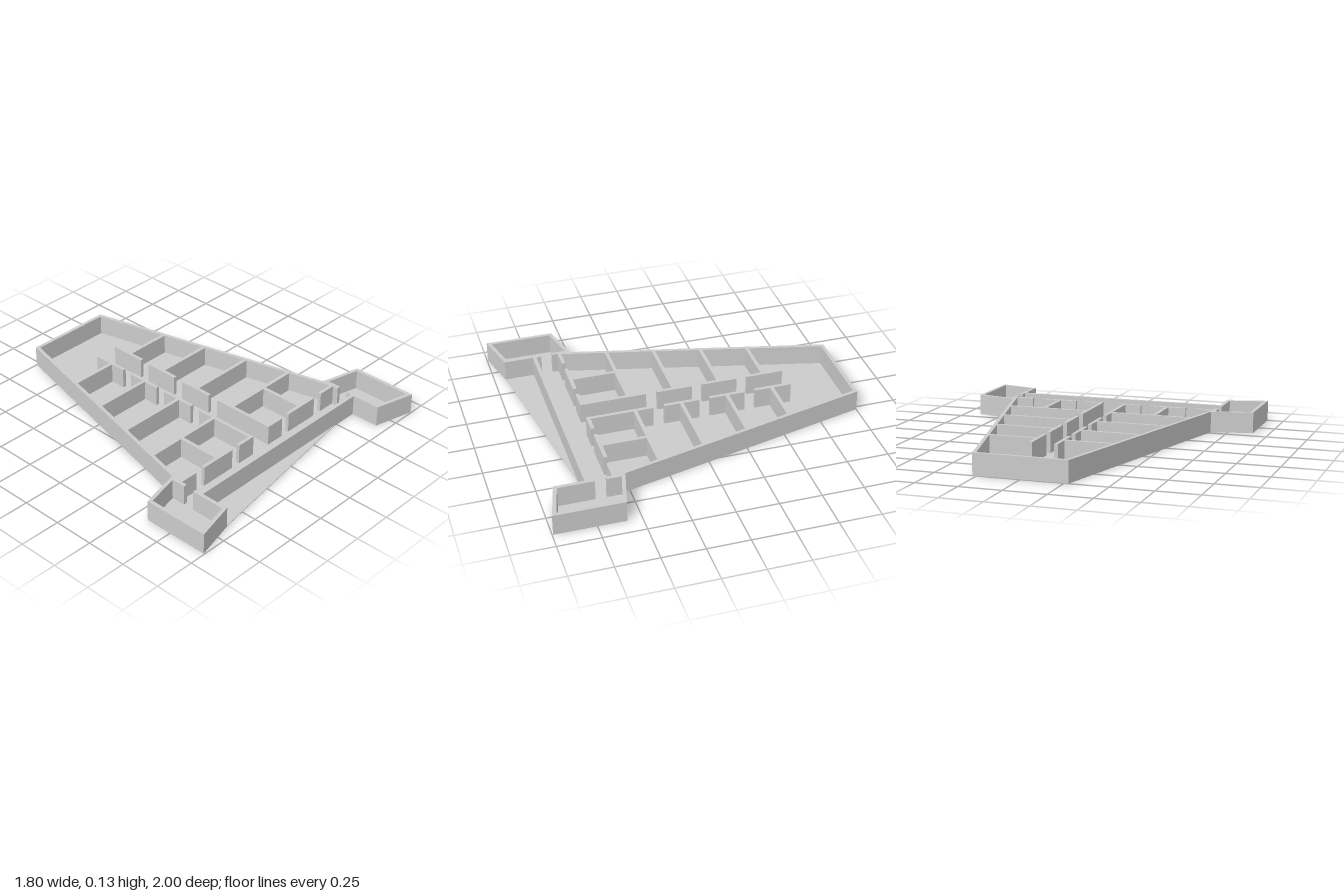
import * as THREE from 'three';

const H = 0.127;   // wall height
const T = 0.022;   // wall thickness
const FLOOR = 0.004;

const material = new THREE.MeshStandardMaterial({ color: 0xcccccc, flatShading: true });

// Outer face of the slanted hull side (x as a function of z)
const hullX = (z) => 0.275 + (z + 1) * 0.246;
const hullInnerX = (z) => hullX(z) - T;

// Extrudes a plan outline of [x, z] points upward from y = 0
function slab(name, points, height = H) {
  const shape = new THREE.Shape(points.map(([x, z]) => new THREE.Vector2(x, z)));
  const geometry = new THREE.ExtrudeGeometry(shape, { depth: height, bevelEnabled: false });
  geometry.rotateX(Math.PI / 2).translate(0, height, 0);
  const mesh = new THREE.Mesh(geometry, material);
  mesh.name = name;
  return mesh;
}

const flip = (points) => points.map(([x, z]) => [-x, z]).reverse();
const rect = (x0, x1, z0, z1) => [[x0, z0], [x1, z0], [x1, z1], [x0, z1]];

export function createModel() {
  const model = new THREE.Group();
  model.name = 'compartmentedHull';

  // Floor plate, with its slanted front edge reaching past the front wall
  const floorBack = [[0.265, -0.99], [0.645, 0.535], [0.89, 0.595], [0.89, 0.98], [0.66, 0.92]];
  model.add(slab('floor', [
    ...flip(floorBack), ...floorBack, [0.66, 0.73], [-0.65, 0.93],
  ], FLOOR));

  // Back and side walls in one bent strip
  const outer = [[hullX(-1), -1], [0.65, 0.525], [0.65, 0.6]];
  const inner = [[hullInnerX(-1 + T), -1 + T], [hullInnerX(0.6), 0.6]];
  model.add(slab('hullWall', [
    ...flip(outer), ...outer, ...[...inner].reverse(), ...inner.map(([x, z]) => [-x, z]),
  ]));

  model.add(slab('frontWall', rect(-0.655, 0.655, 0.735, 0.757)));

  // Side pod wall, open at the doorway into the cross corridor
  const pod = [
    [0.65, 0.525], [0.9, 0.585], [0.9, 0.995], [0.65, 0.932], [0.65, 0.703], [0.672, 0.703],
    [0.672, 0.915], [0.878, 0.966], [0.878, 0.602], [0.672, 0.552], [0.672, 0.637], [0.65, 0.637],
  ];

  const spineSpans = [[-0.65, -0.425], [-0.36, -0.145], [-0.08, 0.135], [0.203, 0.602]];
  const ribs = [-0.542, -0.262, 0.019, 0.3];
  const corridorSpans = [[0.065, 0.185], [0.243, 0.473], [0.535, 0.65]];

  for (const [side, mirror] of [['left', (p) => p], ['right', flip]]) {
    const half = new THREE.Group();
    half.name = side + 'Half';
    const add = (name, points) => half.add(slab(name, mirror(points)));

    add('podWall', pod);
    // Central corridor walls with door gaps
    for (const [z0, z1] of spineSpans) add('spineWall', rect(0.065, 0.087, z0, z1));
    // Cross ribs between the central corridor and the hull side
    for (const z of ribs) {
      add('rib', [
        [0.08, z], [hullInnerX(z) + 0.005, z],
        [hullInnerX(z + T) + 0.005, z + T], [0.08, z + T],
      ]);
    }
    // Divider between the two front rooms, and the corridor wall with doors
    add('roomDivider', rect(0.342, 0.364, 0.315, 0.59));
    for (const [x0, x1] of corridorSpans) add('corridorWall', rect(x0, x1, 0.58, 0.602));
    model.add(half);
  }

  return model;
}
